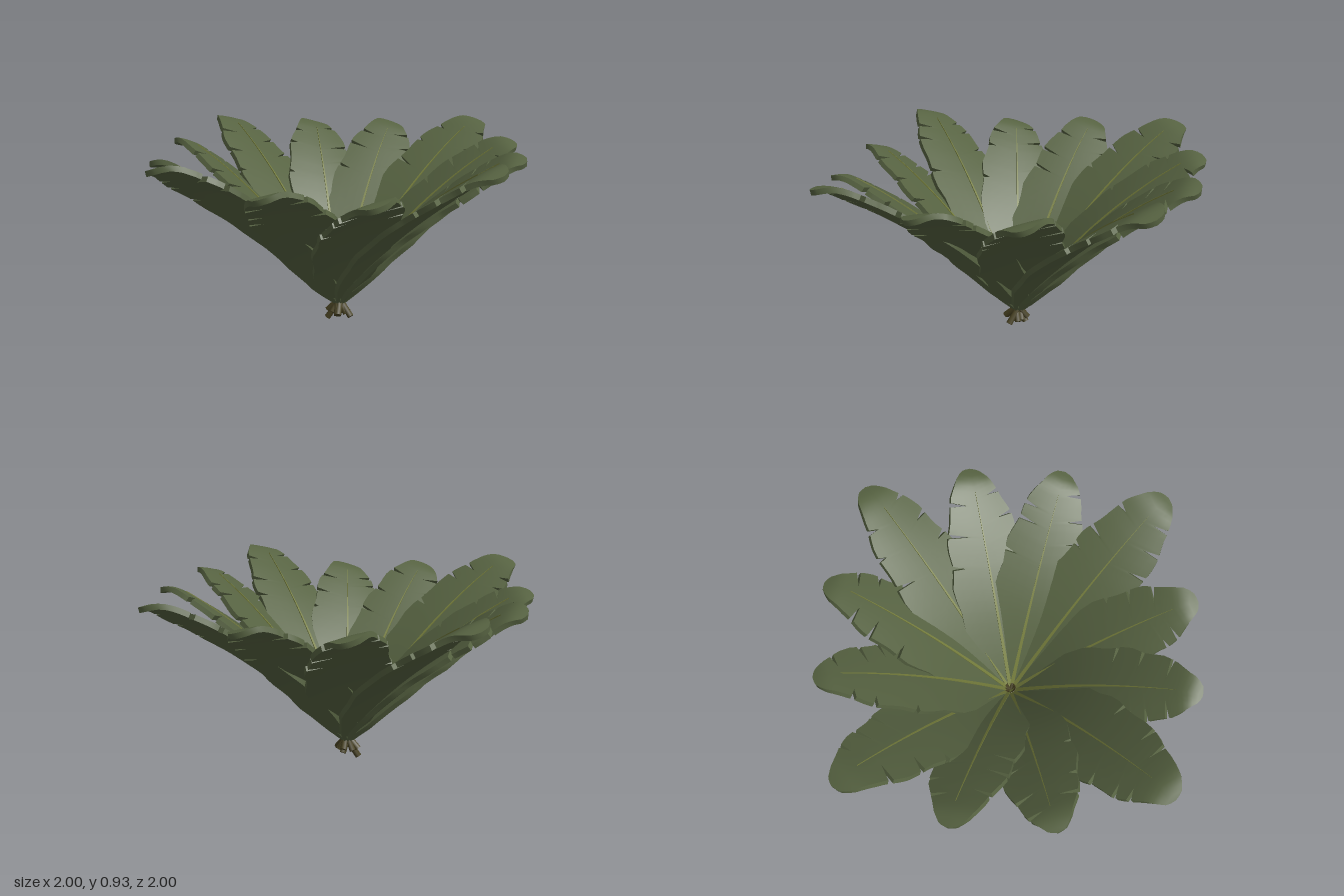
import * as THREE from 'three';
import { toCreasedNormals } from 'three/addons/utils/BufferGeometryUtils.js';

const leafMat = new THREE.MeshStandardMaterial({ color: 0x566241 });
const ribMat = new THREE.MeshStandardMaterial({ color: 0x737b3b });
const stemMat = new THREE.MeshStandardMaterial({ color: 0x464021 });

// seeded jitter in -1..1
let seed = 7;
const jitter = () => {
  seed = (seed * 16807) % 2147483647;
  return (seed / 2147483647) * 2 - 1;
};

// half-width of the blade against distance along the leaf
const outline = [
  [0, 0.03], [0.08, 0.1], [0.2, 0.16], [0.35, 0.195], [0.5, 0.205], [0.66, 0.192],
  [0.79, 0.162], [0.87, 0.128], [0.945, 0.08], [0.985, 0.04], [1, 0],
];
function halfWidth(u) {
  let i = 0;
  while (i < outline.length - 2 && u > outline[i + 1][0]) i++;
  const [a, wa] = outline[i], [b, wb] = outline[i + 1];
  return wa + (wb - wa) * (u - a) / (b - a);
}

// arched midrib line running out along +z
function makeSpine(reach, rise) {
  const pts = [[0, 0], [0.2, 0.225], [0.4, 0.425], [0.6, 0.59], [0.8, 0.725], [0.93, 0.79], [1, 0.785]];
  return new THREE.CatmullRomCurve3(pts.map(([r, y]) => new THREE.Vector3(0, 0.1 + y * rise, r * reach)));
}

// point on the leaf surface: u along, x across, n off the surface
function makeSurface(spine, roll) {
  return (u, x, n) => {
    const t = Math.min(1, u + 0.2 * Math.abs(x));
    const p = spine.getPointAt(t), T = spine.getTangentAt(t);
    const side = new THREE.Vector3(1, 0, 0);
    const up = T.clone().cross(side);
    const angle = roll + 0.16 * u * u;
    const S = side.clone().multiplyScalar(Math.cos(angle)).addScaledVector(up, Math.sin(angle));
    const N = up.clone().multiplyScalar(Math.cos(angle)).addScaledVector(side, -Math.sin(angle));
    const cup = 0.9 * (0.45 - u) * x * x;
    return p.addScaledVector(S, x).addScaledVector(N, n + cup);
  };
}

// closed thin slab following a surface; width(u, sign) gives each half-width
function slab(surface, rows, cols, width, top, bottom) {
  const pos = [], idx = [], loop = 2 * (cols + 1);
  for (const u of rows) {
    for (let k = 0; k < loop; k++) {
      const onTop = k <= cols;
      const v = (onTop ? k : loop - 1 - k) / cols * 2 - 1;
      const p = surface(u, v * width(u, Math.sign(v)), onTop ? top : bottom);
      pos.push(p.x, p.y, p.z);
    }
  }
  for (let i = 0; i < rows.length - 1; i++) {
    for (let k = 0; k < loop; k++) {
      const a = i * loop + k, b = i * loop + (k + 1) % loop;
      idx.push(a, a + loop, b, b, a + loop, b + loop);
    }
  }
  const g = new THREE.BufferGeometry();
  g.setAttribute('position', new THREE.Float32BufferAttribute(pos, 3));
  g.setIndex(idx);
  return toCreasedNormals(g, 0.7);
}

function makeLeaf(reach, rise, widthScale) {
  const leaf = new THREE.Group();
  const surface = makeSurface(makeSpine(reach, rise), 0.14 + 0.03 * jitter());

  // torn slits along both edges
  const slits = [];
  for (const [sign, list] of [[1, [0.6, 0.73, 0.84]], [-1, [0.67, 0.78, 0.87]]]) {
    for (const u of list) {
      slits.push({ sign, u: u + 0.03 * jitter(), depth: 0.065 + 0.04 * jitter() });
    }
  }
  const gap = 0.009, phase = 3 * jitter();
  const width = (u, sign) => {
    const full = halfWidth(u) * widthScale * (1 + 0.04 * Math.sin(u * 31 + phase + sign));
    let cut = 0;
    for (const s of slits) {
      if (s.sign === sign) cut = Math.max(cut, s.depth * (1 - Math.abs(u - s.u) / gap));
    }
    return Math.max(full * 0.4, full - cut);
  };
  const rows = [0.9, 0.92, 0.94, 0.96, 0.98, 0.99, 1];
  for (let i = 0; i < 18; i++) rows.push(i * 0.05);
  for (const s of slits) rows.push(s.u - gap, s.u, s.u + gap);
  rows.sort((a, b) => a - b);
  const blade = new THREE.Mesh(slab(surface, rows, 8, width, 0.011, -0.013), leafMat);
  blade.name = 'blade';

  // raised midrib on the upper face
  const ribRows = rows.filter((u) => u <= 0.9);
  const rib = new THREE.Mesh(
    slab(surface, ribRows, 2, (u) => 0.01 * (1 - u / 0.95), 0.0155, 0.004), ribMat);
  rib.name = 'midrib';

  // cut stem continuing down past the centre
  const from = new THREE.Vector3(0, 0.15, 0.035);
  const to = new THREE.Vector3(0.025 * jitter(), 0.035 + 0.026 * jitter(), -0.05 + 0.018 * jitter());
  const dir = from.clone().sub(to);
  const stem = new THREE.Mesh(new THREE.CylinderGeometry(0.013, 0.016, dir.length(), 7), stemMat);
  stem.position.copy(from).add(to).multiplyScalar(0.5);
  stem.quaternion.setFromUnitVectors(new THREE.Vector3(0, 1, 0), dir.normalize());
  stem.name = 'stem';

  leaf.add(blade, rib, stem);
  return leaf;
}

export function createModel() {
  const plant = new THREE.Group();
  plant.name = 'leafRosette';
  // twelve leaves, every third one longer; the front left ones droop a little
  const rises = [1.01, 0.965, 0.965, 1.01, 0.965, 0.965, 1.01, 0.95, 0.92, 1, 0.905, 0.88];
  rises.forEach((rise, i) => {
    const long = i % 3 === 0;
    const leaf = long ? makeLeaf(1, rise, 0.98) : makeLeaf(0.88, rise, 0.92);
    leaf.rotation.y = i * Math.PI / 6;
    leaf.name = (long ? 'longLeaf' : 'shortLeaf') + (i + 1);
    plant.add(leaf);
  });
  return plant;
}
